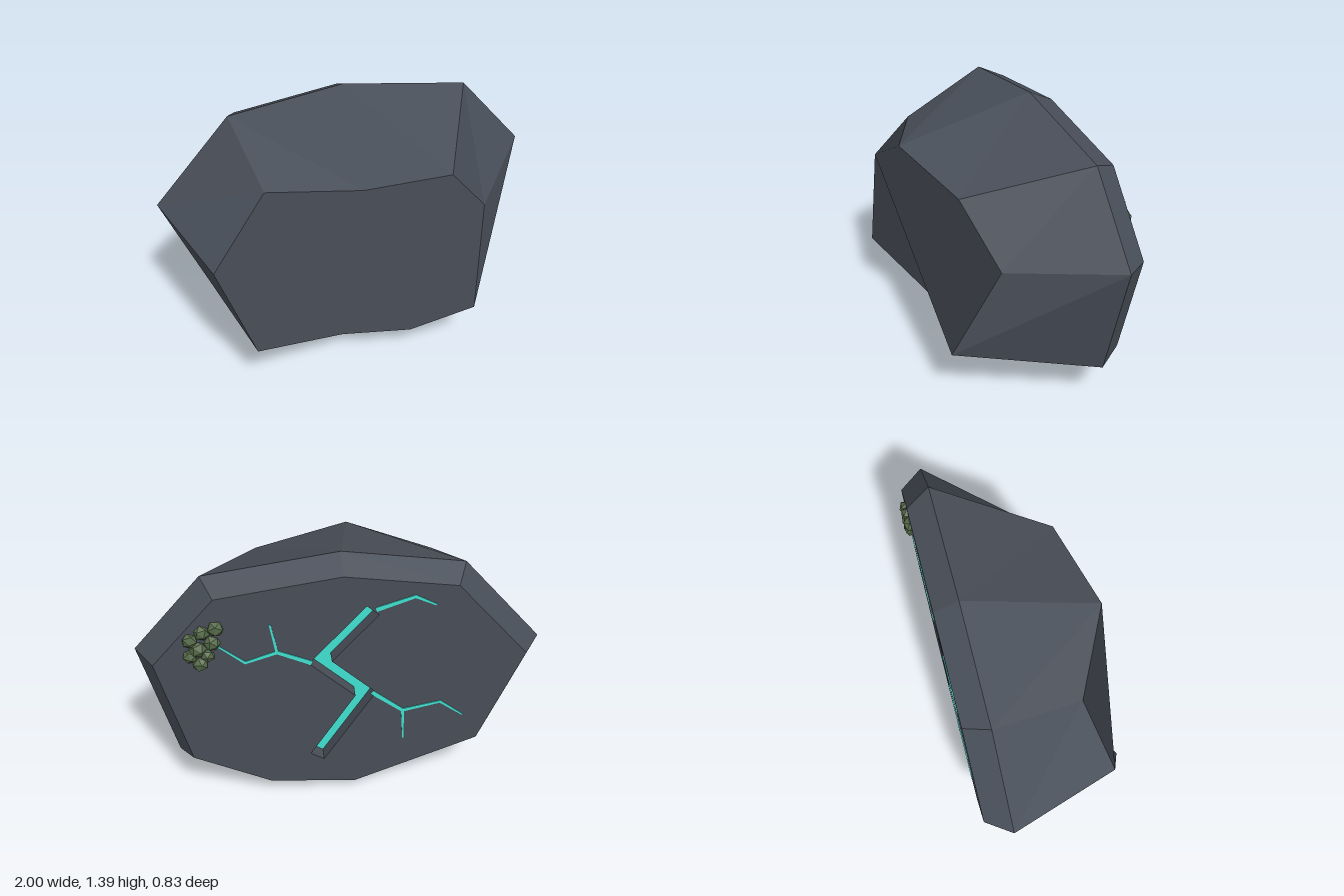
import * as THREE from 'three';

const rock = new THREE.MeshStandardMaterial({ color: 0x484e58 });
rock.name = 'slate rock';
const glow = new THREE.MeshStandardMaterial({ color: 0x40e0d0 });
glow.name = 'turquoise glow';
const mossGreen = new THREE.MeshStandardMaterial({ color: 0x566a48 });
mossGreen.name = 'moss green';

const BACK_Z = -0.382, GROOVE_DEPTH = 0.075;

// Widest ring, and the ragged front ring, both clockwise seen from the front
const girdle = [[-0.6, 1.312], [0, 1.4], [0.662, 1.305], [1, 0.92], [0.84, 0.265],
  [0.415, 0.05], [-0.07, 0.005], [-0.77, 0.28], [-1, 0.86]].map(([x, y]) => [x, y, -0.255]);
const front = [[-0.525, 1.133, 0.2], [-0.1, 1.197, 0.412], [0.388, 1.125, 0.307], [0.625, 0.83, 0.2],
  [0.515, 0.335, 0.412], [0.2, 0.168, 0.307], [-0.15, 0.135, 0.2], [-0.65, 0.34, 0.412], [-0.815, 0.79, 0.307]];
const back = girdle.map(([x, y]) => [x * 0.91, 0.7 + (y - 0.7) * 0.91, BACK_Z]);

function mesh(name, geometry, material) {
  const m = new THREE.Mesh(geometry, material);
  m.name = name;
  return m;
}

function facets(triangles) {
  const g = new THREE.BufferGeometry();
  g.setAttribute('position', new THREE.Float32BufferAttribute(triangles.flat(2), 3));
  g.computeVertexNormals();
  return g;
}

// Faceted band between a rear ring and a front ring
function band(rear, fore) {
  const tris = [];
  rear.forEach((r, i) => {
    const j = (i + 1) % rear.length;
    tris.push([r, fore[j], rear[j]], [r, fore[i], fore[j]]);
  });
  return facets(tris);
}

// Front face: an uneven polygon shaded as a single plane
function frontCap() {
  const g = facets([[8, 0, 1], [8, 1, 2], [2, 3, 4], [8, 2, 4], [8, 4, 5], [8, 5, 6], [8, 6, 7]]
    .map(t => t.reverse().map(i => front[i])));
  const n = new THREE.Vector3();
  front.forEach((p, i) => n.sub(new THREE.Vector3(...p).cross(new THREE.Vector3(...front[(i + 1) % 9]))));
  n.normalize();
  const normals = g.attributes.normal;
  for (let i = 0; i < normals.count; i++) normals.setXYZ(i, n.x, n.y, n.z);
  return g;
}

// Points on the back face, in its own frame (turned half round)
const onBack = pts => pts.map(([x, y]) => new THREE.Vector2(-x, y));

// Mitred outline of a bent stroke whose width runs from w0 to w1
function strokeOutline(pts, w0, w1) {
  const left = [], right = [];
  pts.forEach((p, i) => {
    const a = p.clone().sub(pts[Math.max(i - 1, 0)]).normalize();
    const b = pts[Math.min(i + 1, pts.length - 1)].clone().sub(p).normalize();
    const d = a.clone().add(b).normalize();
    const half = THREE.MathUtils.lerp(w0, w1, i / (pts.length - 1)) / 2;
    const off = new THREE.Vector2(-d.y, d.x).multiplyScalar(half / Math.max(d.dot(i ? a : b), 0.5));
    left.push(p.clone().add(off));
    right.unshift(p.clone().sub(off));
  });
  const outline = left.concat(right);
  return THREE.ShapeUtils.isClockWise(outline) ? outline.reverse() : outline;
}

function buildCarvedBack() {
  const group = new THREE.Group();
  group.name = 'carvedBack';
  group.position.z = BACK_Z;
  group.rotation.y = Math.PI;

  // Zigzag rune sunk into the flat back
  const rune = strokeOutline(onBack([[-0.14, 1.145], [0.11, 0.86], [-0.115, 0.65], [0.13, 0.258]]), 0.08, 0.08);
  const face = new THREE.Shape(onBack(back));
  face.holes.push(new THREE.Path(rune));
  group.add(mesh('backFace', new THREE.ShapeGeometry(face), rock));

  const walls = [];
  rune.forEach((a, i) => {
    const b = rune[(i + 1) % rune.length];
    const [a0, b0, a1, b1] = [[a.x, a.y, 0], [b.x, b.y, 0], [a.x, a.y, -GROOVE_DEPTH], [b.x, b.y, -GROOVE_DEPTH]];
    walls.push([a0, b0, a1], [b0, b1, a1]);
  });
  group.add(mesh('runeWalls', facets(walls), rock));
  const floor = mesh('runeFloor', new THREE.ShapeGeometry(new THREE.Shape(rune)), glow);
  floor.position.z = -GROOVE_DEPTH;
  group.add(floor);

  // Glowing cracks that taper away from the rune
  const cracks = [
    [[0.15, 0.862], [0.318, 0.938], [0.472, 0.888], [0.592, 0.99]],
    [[0.318, 0.938], [0.347, 1.1]],
    [[-0.155, 1.15], [-0.34, 1.212], [-0.442, 1.16]],
    [[-0.145, 0.66], [-0.304, 0.533], [-0.495, 0.573], [-0.615, 0.48]],
    [[-0.304, 0.533], [-0.314, 0.35]],
  ];
  cracks.forEach((pts, i) => {
    const outline = strokeOutline(onBack(pts), pts.length > 2 ? 0.024 : 0.014, 0.008);
    group.add(mesh('crack' + (i + 1),
      new THREE.ExtrudeGeometry(new THREE.Shape(outline), { depth: 0.004, bevelEnabled: false }), glow));
  });
  return group;
}

// Moss: a cluster of flattened faceted clumps
function buildMoss() {
  const group = new THREE.Group();
  group.name = 'moss';
  const clumps = [[0.6, 1.095, 0.042], [0.665, 1.075, 0.04], [0.725, 1.035, 0.04], [0.62, 1.015, 0.042],
    [0.69, 0.985, 0.045], [0.73, 0.945, 0.038], [0.645, 0.945, 0.036], [0.685, 0.9, 0.042]];
  clumps.forEach(([x, y, r], i) => {
    const g = new THREE.IcosahedronGeometry(r, 0);
    g.rotateZ(i * 1.3).rotateX(i * 0.7).scale(1, 1, 0.8);
    const clump = mesh('mossClump' + (i + 1), g, mossGreen);
    clump.position.set(x, y, BACK_Z - 0.003);
    group.add(clump);
  });
  return group;
}

export function createModel() {
  const model = new THREE.Group();
  model.name = 'carvedBoulder';
  model.add(
    mesh('boulderSides', band(girdle, front), rock),
    mesh('backBevel', band(back, girdle), rock),
    mesh('boulderFront', frontCap(), rock),
    buildCarvedBack(),
    buildMoss(),
  );
  return model;
}
